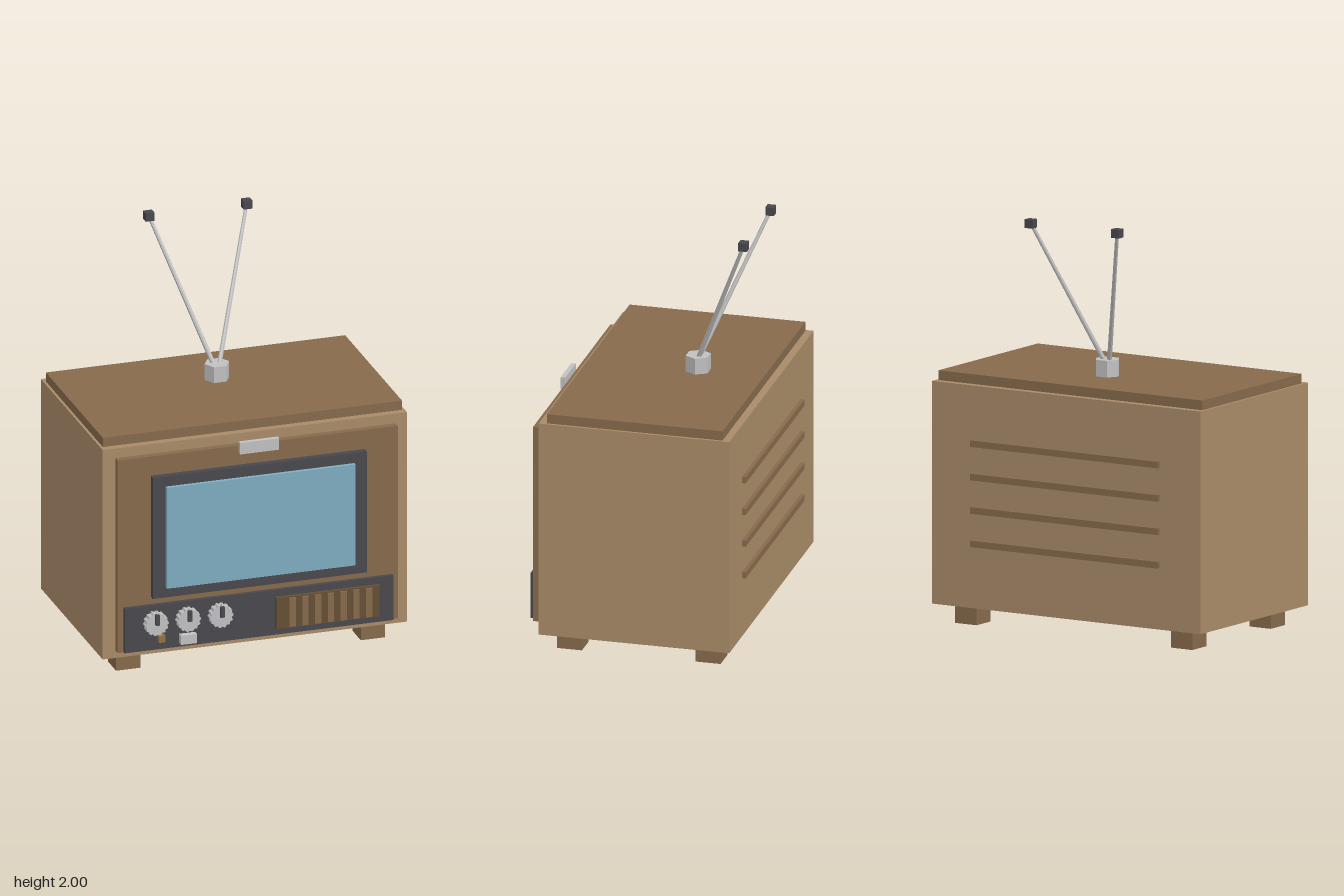
import * as THREE from 'three';

const mat = (name, color) => {
  const m = new THREE.MeshStandardMaterial({ color, flatShading: true });
  m.name = name;
  return m;
};

export function createModel() {
  const tv = new THREE.Group();
  tv.name = 'television';
  const wood = mat('light wood', 0xa98b68);
  const brown = mat('brown wood', 0x866a4c);
  const grilleBrown = mat('dark grille brown', 0x644e35);
  const tan = mat('tan', 0x94703f);
  const dark = mat('charcoal', 0x48474d);
  const glass = mat('screen blue', 0x7eacbf);
  const metal = mat('pale metal', 0xc0c0c0);

  const add = (name, geometry, material) => {
    const mesh = new THREE.Mesh(geometry, material);
    mesh.name = name;
    tv.add(mesh);
    return mesh;
  };
  // Box given by its lower and upper limits on each axis
  const box = (name, material, x0, x1, y0, y1, z0, z1) => {
    const mesh = add(name, new THREE.BoxGeometry(x1 - x0, y1 - y0, z1 - z0), material);
    mesh.position.set((x0 + x1) / 2, (y0 + y1) / 2, (z0 + z1) / 2);
    return mesh;
  };

  // Cabinet
  box('cabinet', wood, -0.765, 0.765, 0.095, 1.175, -0.522, 0.421);
  box('topPanel', brown, -0.752, 0.752, 1.175, 1.222, -0.485, 0.384);
  box('frontPanel', brown, -0.704, 0.704, 0.137, 1.13, 0.432, 0.466);
  for (const x of [-0.615, 0.615]) {
    for (const z of [0.293, -0.393]) {
      box('foot', brown, x - 0.061, x + 0.061, 0, 0.097, z - 0.062, z + 0.062);
    }
  }
  for (let i = 0; i < 4; i++) {
    const y = 0.41 + i * 0.162;
    box('rearVent', brown, -0.535, 0.535, y - 0.016, y + 0.016, -0.541, -0.521);
  }

  // Screen and badge
  box('screenFrame', dark, -0.538, 0.538, 0.408, 1.032, 0.464, 0.498);
  box('screen', glass, -0.474, 0.474, 0.46, 0.98, 0.49, 0.518);
  box('badge', metal, -0.098, 0.098, 1.096, 1.155, 0.472, 0.495);

  // Control panel with ridged knobs and pointers
  box('controlPanel', dark, -0.675, 0.675, 0.14, 0.37, 0.464, 0.486);
  const rim = [];
  const teeth = 14;
  for (let i = 0; i < teeth * 4; i++) {
    const a = (i / (teeth * 4)) * Math.PI * 2;
    const r = i % 4 < 2 ? 0.059 : 0.053;
    rim.push(new THREE.Vector2(Math.cos(a) * r, Math.sin(a) * r));
  }
  const knobGeometry = new THREE.ExtrudeGeometry(new THREE.Shape(rim), { depth: 0.042, bevelEnabled: false });
  for (const x of [-0.525, -0.363, -0.2]) {
    add('knob', knobGeometry, metal).position.set(x, 0.284, 0.482);
    box('knobPointer', dark, x - 0.01, x + 0.01, 0.284, 0.337, 0.515, 0.54);
  }

  // Slider slots, switch and button
  for (const x of [-0.525, -0.2]) {
    box('sliderSlot', dark, x - 0.039, x + 0.039, 0.196, 0.21, 0.484, 0.492);
  }
  box('sliderSwitch', tan, -0.514, -0.48, 0.185, 0.218, 0.484, 0.518);
  box('button', metal, -0.402, -0.322, 0.161, 0.207, 0.484, 0.518);

  // Speaker grille
  box('speakerGrille', grilleBrown, 0.08, 0.6, 0.176, 0.336, 0.484, 0.505);
  for (let i = 0; i < 7; i++) {
    const x = 0.16 + i * 0.064;
    box('grilleSlat', brown, x - 0.016, x + 0.016, 0.182, 0.33, 0.5, 0.514);
  }

  // Antenna: hexagonal base, two rods and square tips
  const base = add('antennaBase', new THREE.CylinderGeometry(0.062, 0.062, 0.082, 6), metal);
  base.rotation.y = Math.PI / 6;
  base.position.set(0, 1.262, -0.16);
  for (const side of [-1, 1]) {
    const from = new THREE.Vector3(side * 0.01, 1.28, -0.16);
    const to = new THREE.Vector3(side * 0.246, 1.98, -0.452);
    const along = to.clone().sub(from);
    const rod = add('antennaRod', new THREE.CylinderGeometry(0.009, 0.012, along.length(), 8), metal);
    rod.position.copy(from).add(to).multiplyScalar(0.5);
    rod.quaternion.setFromUnitVectors(new THREE.Vector3(0, 1, 0), along.normalize());
    box('antennaTip', dark, to.x - 0.022, to.x + 0.022, 1.958, 2, to.z - 0.021, to.z + 0.021);
  }
  return tv;
}
